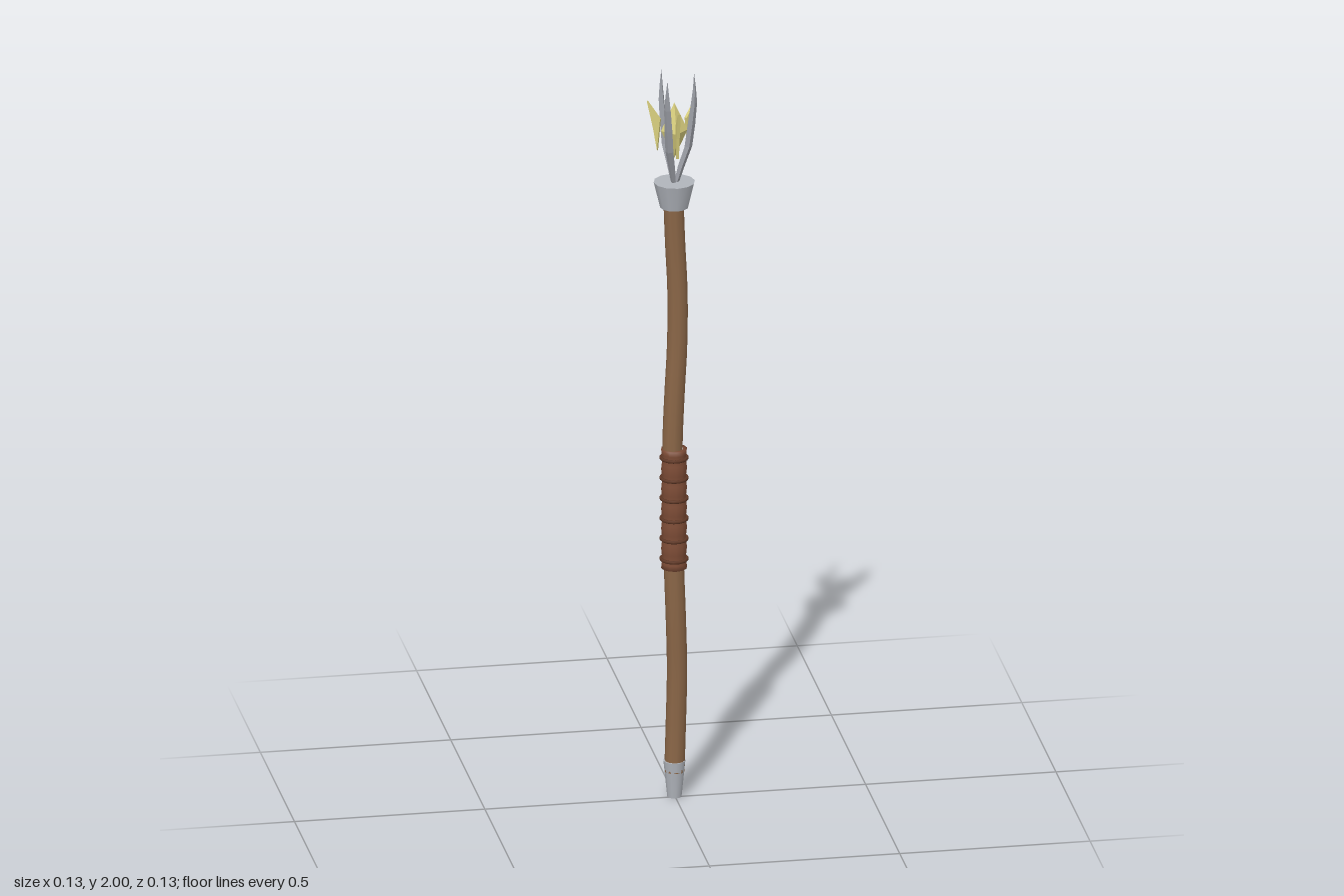
import * as THREE from 'three';

const AXIS_Z = -0.008;
const mat = (color, opts = {}) => {
  const m = new THREE.MeshStandardMaterial({ color, ...opts });
  return m;
};

function add(parent, name, geometry, material) {
  const mesh = new THREE.Mesh(geometry, material);
  mesh.name = name;
  parent.add(mesh);
  return mesh;
}

function lathe(points, sides) {
  return new THREE.LatheGeometry(points.map(([r, y]) => new THREE.Vector2(r, y)), sides);
}

// Claw blade: diamond cross-sections [radius, height, half depth, half width] skinned upward
function clawGeometry(sections) {
  const corners = [[1, 0], [0, -1], [-1, 0], [0, 1]];
  const pos = [], idx = [];
  for (const [r, y, d, w] of sections)
    for (const [a, b] of corners) pos.push(r + a * d, y, b * w);
  for (let s = 0; s < sections.length - 1; s++)
    for (let k = 0; k < 4; k++) {
      const a = s * 4 + k, b = s * 4 + (k + 1) % 4;
      idx.push(a, b, b + 4, a, b + 4, a + 4);
    }
  const g = new THREE.BufferGeometry();
  g.setAttribute('position', new THREE.Float32BufferAttribute(pos, 3));
  g.setIndex(idx);
  const flat = g.toNonIndexed();
  flat.computeVertexNormals();
  return flat;
}

export function createModel() {
  const group = new THREE.Group();
  group.name = 'staff';
  const wood = mat(0x8a6647);
  const leather = mat(0x7d4c36);
  const cord = mat(0x5f3826);
  const metal = mat(0xb0b4bb);
  const steel = mat(0x9a9da4, { flatShading: true, side: THREE.DoubleSide });
  const gold = mat(0xd9cf7e, { flatShading: true });

  // Gently crooked wooden shaft
  const path = new THREE.CatmullRomCurve3([
    [-0.001, 0.07, -0.006], [0.003, 0.2, -0.008], [0.006, 0.35, -0.007],
    [0.002, 0.5, -0.003], [-0.003, 0.65, -0.003], [-0.004, 0.8, -0.005],
    [-0.006, 0.97, -0.007], [0, 1.12, -0.009], [0.007, 1.25, -0.011],
    [0.008, 1.4, -0.012], [0.002, 1.53, -0.012], [-0.003, 1.66, -0.01],
  ].map(p => new THREE.Vector3(...p)));
  add(group, 'shaft', new THREE.TubeGeometry(path, 36, 0.0265, 10, false), wood);

  // Grip: wrapped sleeve bulging between its cords
  const grip = new THREE.Group();
  grip.name = 'grip';
  grip.position.set(-0.002, 0, -0.006);
  group.add(grip);
  const profile = [[0.024, 0.635]];
  for (let i = 0; i <= 24; i++)
    profile.push([0.0325 + 0.0015 * Math.cos(i * Math.PI / 2), 0.635 + 0.33 * i / 24]);
  profile.push([0.024, 0.965]);
  add(grip, 'gripWrap', lathe(profile, 12), leather);
  for (let i = 0; i < 6; i++) {
    const ring = add(grip, 'gripCord', new THREE.TorusGeometry(0.034, 0.0045, 6, 14), cord);
    ring.rotation.x = Math.PI / 2;
    ring.position.y = 0.66 + i * 0.056;
  }

  // Metal foot
  const foot = add(group, 'footCap', new THREE.CylinderGeometry(0.029, 0.019, 0.1, 12), metal);
  foot.position.set(-0.001, 0.05, -0.006);

  // Head: collar, three claws, floating crystal and three shards
  const head = new THREE.Group();
  head.name = 'head';
  head.position.set(-0.001, 0, AXIS_Z);
  group.add(head);
  const collar = add(head, 'collar', new THREE.CylinderGeometry(0.054, 0.037, 0.07, 12), metal);
  collar.position.y = 1.67;

  const claw = clawGeometry([
    [0.004, 1.695, 0.006, 0.006],
    [0.018, 1.745, 0.009, 0.009],
    [0.037, 1.8, 0.01, 0.011],
    [0.045, 1.86, 0.01, 0.011],
    [0.052, 1.92, 0.008, 0.009],
    [0.053, 1.96, 0.004, 0.005],
    [0.052, 2.0, 0.0003, 0.0003],
  ]);
  const shardShape = new THREE.Shape([
    [0.046, 1.785], [0.057, 1.845], [0.074, 1.918], [0.038, 1.872],
  ].map(([x, y]) => new THREE.Vector2(x, y)));
  const shard = new THREE.ExtrudeGeometry(shardShape, { depth: 0.008, bevelEnabled: false });
  shard.translate(0, 0, -0.004);

  for (let i = 0; i < 3; i++) {
    const turn = i * Math.PI * 2 / 3;
    add(head, 'claw', claw, steel).rotation.y = turn;
    add(head, 'shard', shard, gold).rotation.y = turn - Math.PI / 2;
  }

  const crystal = add(head, 'crystal', new THREE.OctahedronGeometry(1), gold);
  crystal.scale.set(0.035, 0.077, 0.035);
  crystal.position.y = 1.847;

  return group;
}
